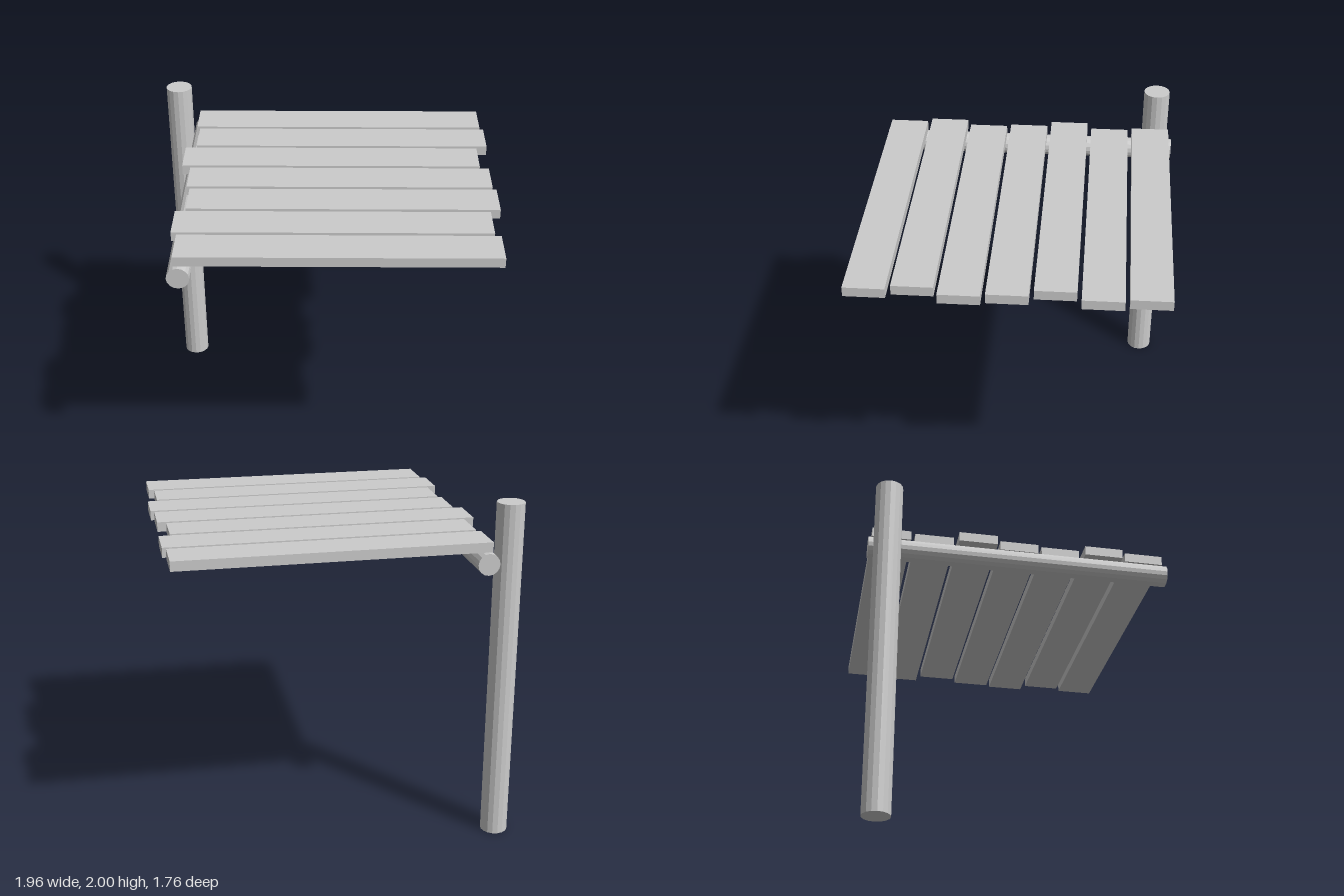
import * as THREE from 'three';

export function createModel() {
  const group = new THREE.Group();
  const material = new THREE.MeshStandardMaterial({ color: 0xcccccc, flatShading: true });

  const add = (name, geometry, x, y, z) => {
    const mesh = new THREE.Mesh(geometry, material);
    mesh.name = name;
    mesh.position.set(x, y, z);
    group.add(mesh);
    return mesh;
  };

  // Upright pole at the back right corner
  add('post', new THREE.CylinderGeometry(0.078, 0.078, 2, 16), -0.904, 1, -0.78);

  // Round beam running front to back under the plank ends
  const beam = add('beam', new THREE.CylinderGeometry(0.062, 0.062, 1.76, 16), -0.764, 1.68, 0);
  beam.rotation.x = Math.PI / 2;

  // Row of planks, each shifted slightly sideways, from back to front
  const plank = new THREE.BoxGeometry(1.743, 0.056, 0.225);
  const shifts = [0.082, 0.102, 0.038, 0.088, 0.107, 0.05, 0.082];
  shifts.forEach((x, i) => add(`plank${i + 1}`, plank, x, 1.772, (i - 3) * 0.249));

  return group;
}
